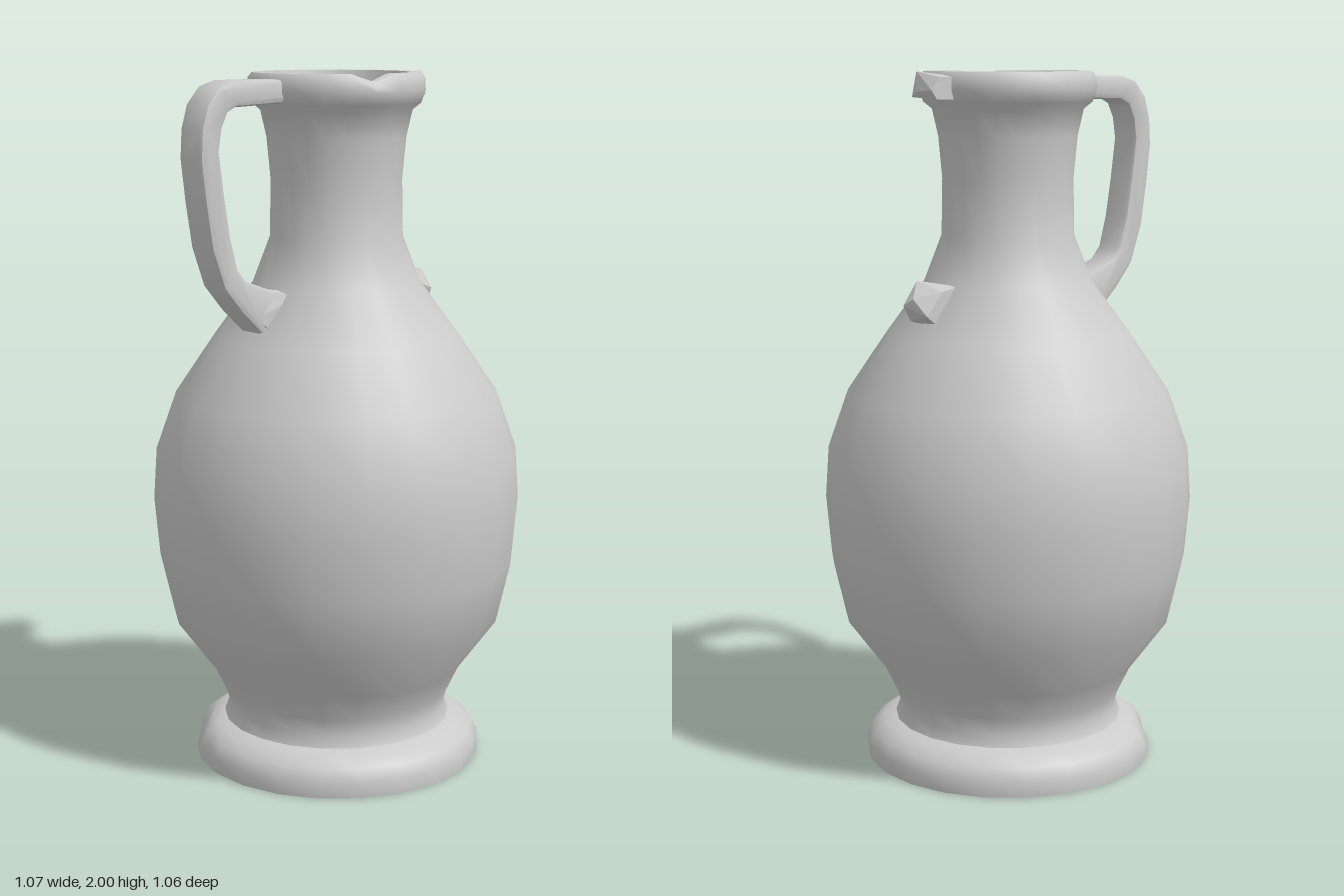
import * as THREE from 'three';
import { toCreasedNormals } from 'three/addons/utils/BufferGeometryUtils.js';
import { ConvexGeometry } from 'three/addons/geometries/ConvexGeometry.js';

const material = new THREE.MeshStandardMaterial({ color: 0xcccccc });
const points = (list) => list.map(([a, b]) => new THREE.Vector2(a, b));

function addPart(group, name, geometry, crease = 0.7) {
  const mesh = new THREE.Mesh(toCreasedNormals(geometry, crease), material);
  mesh.name = name;
  group.add(mesh);
}

// Convex lump from a list of corners, with hard facets
function addChunk(group, name, corners) {
  const geometry = new ConvexGeometry(corners.map((c) => new THREE.Vector3(...c)));
  addPart(group, name, geometry, 0.1);
}

export function createModel() {
  const group = new THREE.Group();
  group.name = 'jug';

  // Foot, belly, neck and rim, then down the inside of the neck
  const profile = points([
    [0, 0], [0.42, 0], [0.423, 0.045], [0.405, 0.08], [0.37, 0.105], [0.335, 0.115],
    [0.322, 0.15], [0.335, 0.2], [0.37, 0.275], [0.48, 0.425], [0.52, 0.6], [0.535, 0.77],
    [0.525, 0.92], [0.465, 1.09], [0.35, 1.26], [0.24, 1.41], [0.19, 1.54], [0.187, 1.7],
    [0.198, 1.82], [0.215, 1.895], [0.24, 1.915], [0.252, 1.95], [0.25, 1.985], [0.238, 2],
    [0.205, 2], [0.195, 1.96], [0.18, 1.88], [0.155, 1.75], [0.13, 1.55], [0.13, 1.5], [0, 1.5],
  ]);
  const body = new THREE.LatheGeometry(profile, 22, Math.PI / 2);

  // Small chip in the rim and a worn dent in the foot
  const pos = body.attributes.position;
  for (let i = 0; i < pos.count; i++) {
    const x = pos.getX(i), y = pos.getY(i), z = pos.getZ(i);
    const angle = Math.atan2(z, x);
    if (y > 1.98 && Math.abs(angle - 0.286) < 0.1) pos.setY(i, y - 0.022);
    if (y > 0.03 && y < 0.09 && Math.abs(angle - 2.29) < 0.1) {
      pos.setXYZ(i, x * 0.97, y - 0.015, z * 0.97);
    }
  }
  addPart(group, 'body', body, 0.85);

  // Handle: side outline (z, y) extruded across x with softened edges
  const outline = new THREE.Shape(points([
    [0.18, 1.98], [0.25, 1.985], [0.41, 1.985], [0.46, 1.97], [0.5, 1.925], [0.52, 1.86],
    [0.525, 1.78], [0.51, 1.66], [0.49, 1.54], [0.45, 1.43], [0.39, 1.36], [0.31, 1.285],
    [0.22, 1.39], [0.26, 1.405], [0.37, 1.445], [0.4, 1.48], [0.425, 1.57], [0.445, 1.69],
    [0.46, 1.8], [0.45, 1.86], [0.43, 1.9], [0.4, 1.915], [0.25, 1.92], [0.18, 1.93],
  ].reverse()));
  const bevel = 0.014;
  const width = 0.1;
  const handle = new THREE.ExtrudeGeometry(outline, {
    depth: width - 2 * bevel, bevelThickness: bevel, bevelSize: bevel,
    bevelOffset: -bevel, bevelSegments: 2,
  });
  handle.translate(0, 0, bevel - width / 2).rotateY(-Math.PI / 2);
  addPart(group, 'handle', handle);

  // Flared root where the handle meets the shoulder
  addChunk(group, 'handleRoot', [
    [0.02, 1.4, 0.2], [0.07, 1.39, 0.21], [0.06, 1.29, 0.28],
    [0.03, 1.28, 0.3], [0.03, 1.42, 0.32], [0.045, 1.34, 0.34],
  ]);

  // Broken ends of the missing back handle
  addChunk(group, 'upperHandleStub', [
    [-0.05, 1.985, -0.21], [0.05, 1.985, -0.21], [-0.05, 1.925, -0.21], [0.05, 1.925, -0.21],
    [-0.05, 1.985, -0.285], [0.05, 1.985, -0.285], [-0.05, 1.925, -0.295],
    [0.055, 1.93, -0.3], [0.04, 2, -0.295], [0.02, 1.945, -0.31], [-0.045, 1.95, -0.31],
  ]);
  addChunk(group, 'lowerHandleStub', [
    [-0.05, 1.41, -0.22], [0.05, 1.41, -0.22], [-0.05, 1.3, -0.29], [0.05, 1.3, -0.29],
    [-0.05, 1.4, -0.28], [0.04, 1.425, -0.3], [0.065, 1.37, -0.31],
    [0.035, 1.36, -0.352], [0, 1.38, -0.345], [-0.05, 1.335, -0.335], [0.04, 1.315, -0.325],
  ]);

  return group;
}
